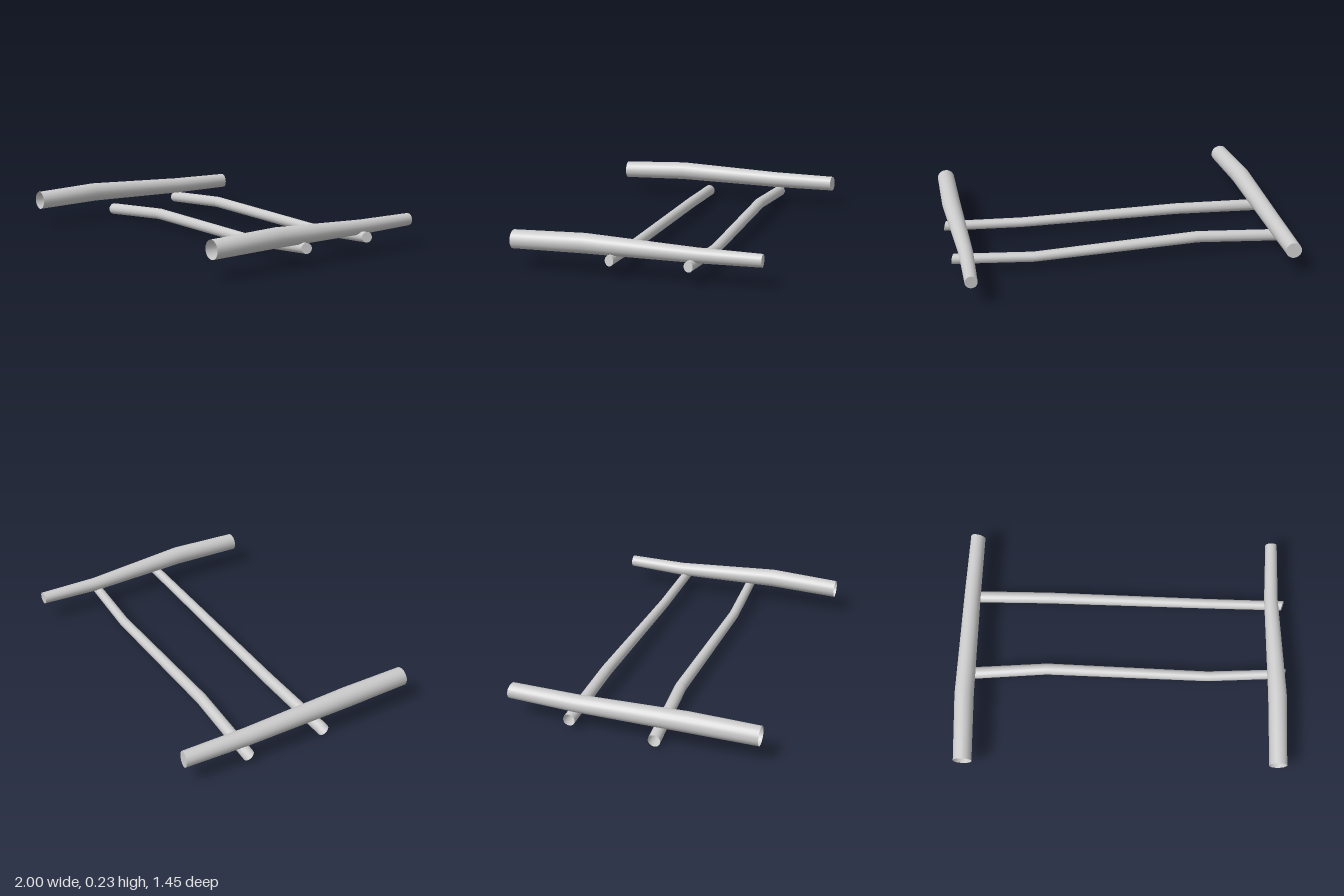
import * as THREE from 'three';

const material = new THREE.MeshStandardMaterial({ color: 0xcccccc, side: THREE.DoubleSide });
const SIDES = 20;

// Bent, tapering pole through stations [x, y, z, radius]; thick end open, thin end capped.
// dir is the running axis, tip the normal of the thin end.
function pole(name, stations, dir, tip) {
  const group = new THREE.Group();
  group.name = name;
  const up = new THREE.Vector3(0, 1, 0);
  const positions = [], index = [];
  const last = stations.length - 1;
  let capRing = [];

  stations.forEach(([x, y, z, r], i) => {
    const centre = new THREE.Vector3(x, y, z);
    const axis = (i === last ? tip : dir).clone().normalize();
    const side = new THREE.Vector3().crossVectors(up, axis).normalize();
    const top = new THREE.Vector3().crossVectors(axis, side);
    const ring = [];
    for (let j = 0; j <= SIDES; j++) {
      const a = (j / SIDES) * Math.PI * 2;
      const p = centre.clone().addScaledVector(side, r * Math.cos(a)).addScaledVector(top, r * Math.sin(a));
      ring.push(p);
      positions.push(p.x, p.y, p.z);
    }
    if (i === last) capRing = ring;
  });

  const row = SIDES + 1;
  for (let i = 0; i < last; i++) {
    for (let j = 0; j < SIDES; j++) {
      const a = i * row + j, b = a + 1, c = a + row, d = c + 1;
      index.push(a, b, c, b, d, c);
    }
  }
  const bark = new THREE.BufferGeometry();
  bark.setAttribute('position', new THREE.Float32BufferAttribute(positions, 3));
  bark.setIndex(index);
  bark.computeVertexNormals();
  // Weld the normals along the seam
  const n = bark.attributes.normal;
  for (let i = 0; i <= last; i++) {
    const s = i * row, e = s + SIDES;
    const v = new THREE.Vector3().fromBufferAttribute(n, s)
      .add(new THREE.Vector3().fromBufferAttribute(n, e)).normalize();
    n.setXYZ(s, v.x, v.y, v.z);
    n.setXYZ(e, v.x, v.y, v.z);
  }
  const shaft = new THREE.Mesh(bark, material);
  shaft.name = name + 'Shaft';

  // Flat thin end
  const [cx, cy, cz] = stations[last];
  const capPoints = [new THREE.Vector3(cx, cy, cz), ...capRing];
  const capIndex = [];
  for (let j = 1; j <= SIDES; j++) capIndex.push(0, j, j + 1);
  const capGeometry = new THREE.BufferGeometry().setFromPoints(capPoints);
  capGeometry.setIndex(capIndex);
  capGeometry.computeVertexNormals();
  const cap = new THREE.Mesh(capGeometry, material);
  cap.name = name + 'End';

  group.add(shaft, cap);
  return group;
}

export function createModel() {
  const model = new THREE.Group();
  model.name = 'poleFrame';
  const back = new THREE.Vector3(0, 0, -1);
  const across = new THREE.Vector3(1, 0, 0);
  const rungTip = new THREE.Vector3(1, 0.12, 0.36);

  // Long side rails, front to back
  model.add(pole('rightRail', [
    [-0.93, 0.16, 0.725, 0.055],
    [-0.942, 0.173, 0.32, 0.058],
    [-0.932, 0.157, -0.33, 0.05],
    [-0.92, 0.158, -0.722, 0.046],
  ], back, new THREE.Vector3(0.16, 0.05, -1)));
  model.add(pole('leftRail', [
    [0.923, 0.16, 0.725, 0.053],
    [0.93, 0.173, 0.3, 0.056],
    [0.91, 0.155, -0.33, 0.042],
    [0.92, 0.16, -0.692, 0.036],
  ], back, back));

  // Cross rungs beneath the rails, right to left
  model.add(pole('frontRung', [
    [-0.98, 0.038, 0.145, 0.036],
    [-0.46, 0.076, 0.12, 0.034],
    [0.52, 0.072, 0.15, 0.03],
    [0.985, 0.103, 0.138, 0.03],
  ], across, rungTip));
  model.add(pole('backRung', [
    [-0.98, 0.07, -0.353, 0.035],
    [-0.46, 0.106, -0.337, 0.034],
    [0.52, 0.08, -0.325, 0.03],
    [0.985, 0.11, -0.306, 0.03],
  ], across, rungTip));

  return model;
}
